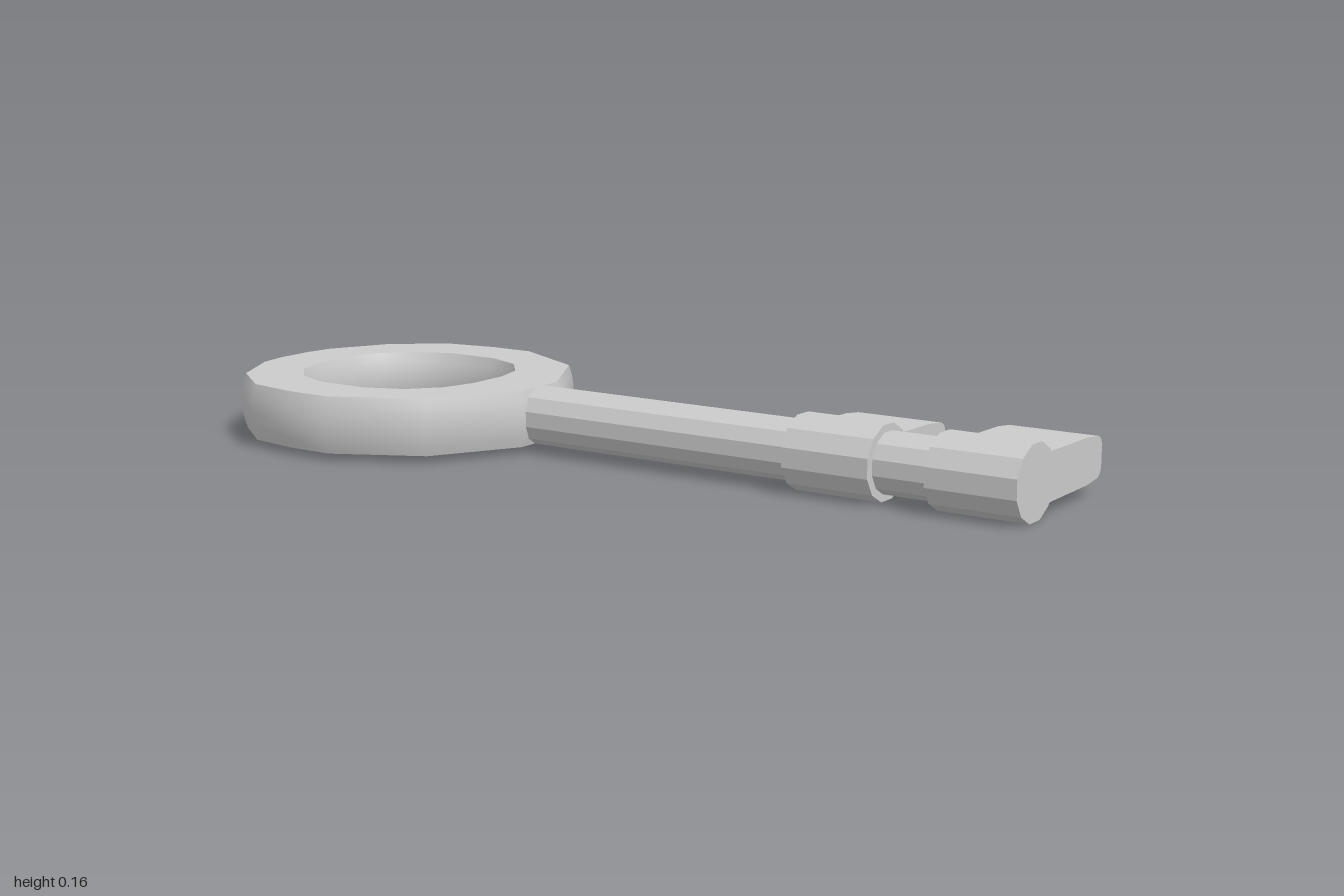
import * as THREE from 'three';
import { toCreasedNormals } from 'three/addons/utils/BufferGeometryUtils.js';

const MID_Y = 0.081; // height of the key's axis
const BOW_Z = -0.62; // centre of the bow
const material = new THREE.MeshStandardMaterial({ color: 0xcccccc });

function add(group, name, geometry) {
  const mesh = new THREE.Mesh(geometry, material);
  mesh.name = name;
  group.add(mesh);
}

// Right half of an [x, z] outline, mirrored to a closed loop
const mirrored = half => [...half, ...half.map(([x, z]) => [-x, z]).reverse()];

// Ring-shaped handle: bulging outer wall, flat faces, bulging hole wall
function bowGeometry() {
  const outer = mirrored([[0.045, -1], [0.12, -0.988], [0.265, -0.912], [0.36, -0.79],
    [0.382, -0.66], [0.382, -0.545], [0.275, -0.34], [0.07, -0.225]]);
  const inner = mirrored([[0.05, -0.845], [0.125, -0.822], [0.19, -0.76], [0.225, -0.68],
    [0.225, -0.56], [0.19, -0.475], [0.125, -0.42], [0.05, -0.4]]);
  const steps = 6, half = 0.065;
  const section = [];
  for (const [loop, dir, inset] of [[outer, 1, -0.03], [inner, -1, 0.065]]) {
    for (let k = 0; k <= steps; k++) {
      const t = dir * (2 * k / steps - 1);
      section.push({ loop, y: MID_Y + half * t, scale: 1 + inset * t * t });
    }
  }
  const n = outer.length, m = section.length;
  const positions = [], index = [];
  for (let i = 0; i < n; i++) {
    for (const { loop, y, scale } of section) {
      const [x, z] = loop[i];
      positions.push(x * scale, y, BOW_Z + (z - BOW_Z) * scale);
    }
    for (let j = 0; j < m; j++) {
      const i2 = (i + 1) % n, j2 = (j + 1) % m;
      const a = i * m + j, b = i * m + j2, c = i2 * m + j2, d = i2 * m + j;
      index.push(a, b, c, a, c, d);
    }
  }
  const geometry = new THREE.BufferGeometry();
  geometry.setAttribute('position', new THREE.Float32BufferAttribute(positions, 3));
  geometry.setIndex(index);
  return toCreasedNormals(geometry, 0.7);
}

// Twelve-sided collar with a tooth reaching out to +x
function bitGeometry(reach, z0, z1) {
  const points = [];
  for (let k = 0; k < 10; k++) {
    const a = Math.PI / 4 + k * Math.PI / 6;
    points.push(new THREE.Vector2(0.088 * Math.cos(a), MID_Y + 0.0838 * Math.sin(a)));
  }
  const tooth = [[0.067, -0.053], [reach - 0.07, -0.051], [reach - 0.017, -0.045], [reach - 0.005, -0.037],
    [reach, -0.025]];
  for (const [x, y] of tooth) points.push(new THREE.Vector2(x, MID_Y + y));
  for (const [x, y] of tooth.reverse()) points.push(new THREE.Vector2(x, MID_Y - y));
  const geometry = new THREE.ExtrudeGeometry(new THREE.Shape(points), { depth: z1 - z0, bevelEnabled: false });
  return geometry.translate(0, 0, z0);
}

// Twelve-sided rod along z
function shaftGeometry(z0, z1) {
  const geometry = new THREE.CylinderGeometry(0.067, 0.067, z1 - z0, 12);
  geometry.rotateY(Math.PI / 12).rotateX(Math.PI / 2).translate(0, MID_Y, (z0 + z1) / 2);
  return toCreasedNormals(geometry, 0.3);
}

export function createModel() {
  const key = new THREE.Group();
  key.name = 'key';
  add(key, 'bow', bowGeometry());
  add(key, 'shaft', shaftGeometry(-0.3, 0.98));
  add(key, 'innerBit', bitGeometry(0.255, 0.46, 0.665));
  add(key, 'endBit', bitGeometry(0.316, 0.795, 1));
  return key;
}
